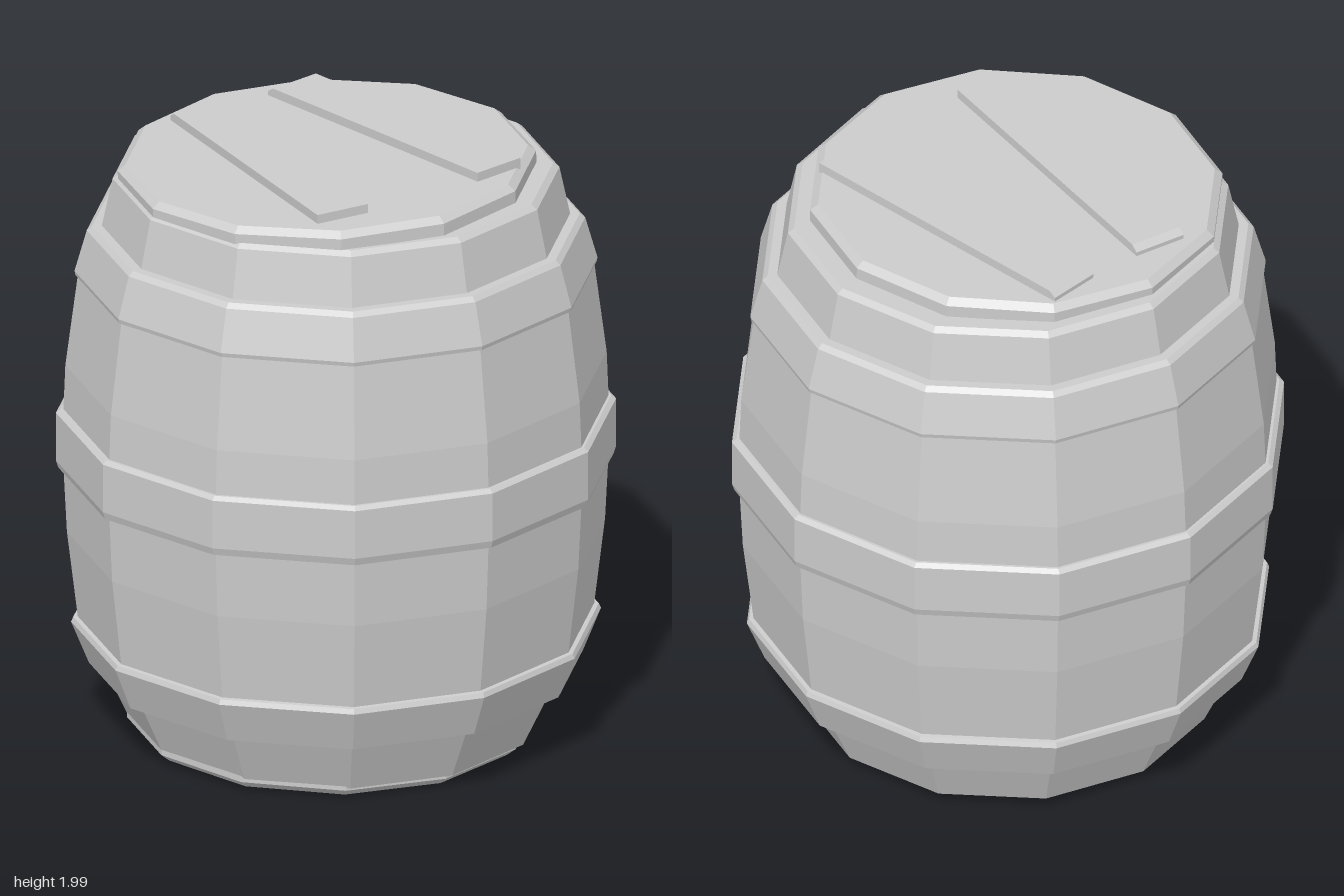
import * as THREE from 'three';

const SIDES = 12;
const TURN = 0.037; // slight twist of the twelve-sided cross-section

const material = new THREE.MeshStandardMaterial({ color: 0xcccccc, flatShading: true });

// Faceted ring or solid from [radius, height] pairs, listed from bottom to top
function turned(name, profile) {
  const points = profile.map(([r, y]) => new THREE.Vector2(r, y));
  const mesh = new THREE.Mesh(new THREE.LatheGeometry(points, SIDES, TURN), material);
  mesh.name = name;
  return mesh;
}

// Flat plank with its back top edge chamfered
function plank(name, x, z, angle) {
  const height = 0.04, length = 1.013;
  const geometry = new THREE.BoxGeometry(0.18, height, length, 1, 2, 1);
  const pos = geometry.attributes.position;
  for (let i = 0; i < pos.count; i++) {
    const y = pos.getY(i);
    if (Math.abs(y) < 0.001) pos.setY(i, 0.004);
    if (y > 0.01 && pos.getZ(i) < 0) pos.setZ(i, -length / 2 + 0.025);
  }
  const mesh = new THREE.Mesh(geometry, material);
  mesh.name = name;
  mesh.position.set(x, 0.01, z);
  mesh.rotation.y = angle;
  return mesh;
}

export function createModel() {
  const barrel = new THREE.Group();
  barrel.name = 'barrel';

  // Bulging staves
  barrel.add(turned('staves', [
    [0, 0.045], [0.66, 0.045], [0.745, 0.23], [0.82, 0.385], [0.855, 0.68],
    [0.866, 0.9], [0.866, 1.1], [0.86, 1.25], [0.82, 1.56], [0.745, 1.72],
    [0.71, 1.885], [0.69, 1.9], [0, 1.9],
  ]));

  // Hoops with chamfered edges
  barrel.add(turned('lowerHoop', [
    [0.73, 0.23], [0.785, 0.23], [0.842, 0.372], [0.835, 0.388], [0.8, 0.392],
  ]));
  barrel.add(turned('middleHoop', [
    [0.85, 0.9], [0.882, 0.9], [0.89, 0.925], [0.89, 1.088], [0.875, 1.1], [0.85, 1.1],
  ]));
  barrel.add(turned('upperHoop', [
    [0.8, 1.558], [0.828, 1.558], [0.831, 1.572], [0.792, 1.71], [0.775, 1.725], [0.73, 1.725],
  ]));

  // Base disc, slightly crooked
  const base = turned('base', [[0, 0], [0.62, 0], [0.65, 0.025], [0.65, 0.06], [0, 0.06]]);
  base.position.set(-0.015, 0.013, 0.01);
  base.rotation.z = -0.01;
  barrel.add(base);

  // Tilted, off-centre lid carrying two planks
  const lid = new THREE.Group();
  lid.name = 'lid';
  lid.position.set(-0.03, 1.955, 0.02);
  lid.rotation.z = 0.025;
  lid.add(turned('lidDisc', [
    [0, -0.06], [0.665, -0.06], [0.665, -0.02], [0.64, 0], [0, 0],
  ]));
  lid.add(plank('rightHandPlank', 0.22, -0.18, 0.684));
  lid.add(plank('leftHandPlank', -0.185, 0.08, 0.448));
  barrel.add(lid);

  return barrel;
}
